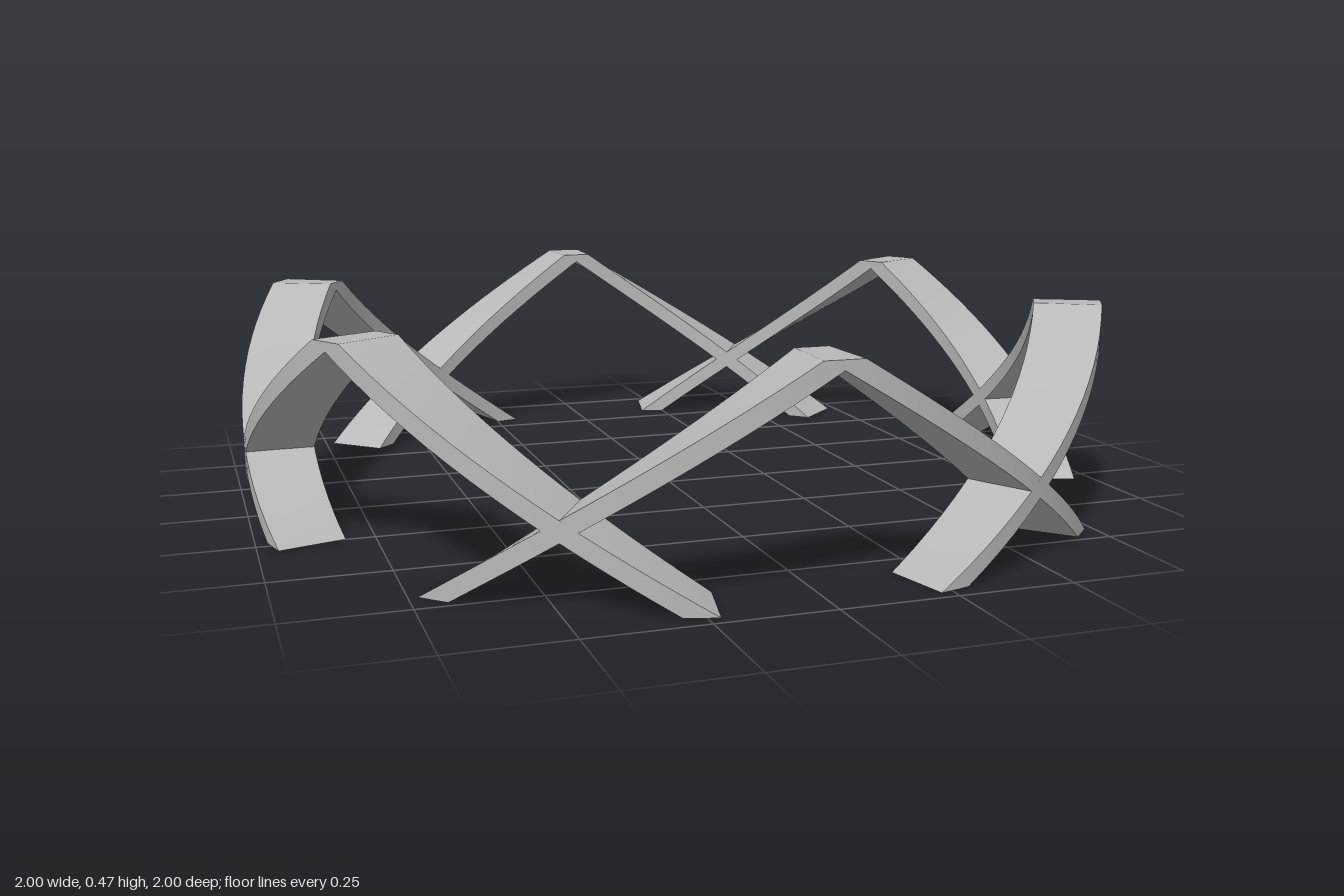
import * as THREE from 'three';
import { toCreasedNormals } from 'three/addons/utils/BufferGeometryUtils.js';

const OUTER = 1, INNER = 0.85, TOP = 0.47, UNDER = 0.45;
const FOOT = 47, HEEL = 43;   // degrees where the upper and lower edges reach the ground
const PEAK = 2.4;             // half width of the flat peak, in degrees

// One arch: a four-cornered section swept around the circle, rising to a flat peak
function archGeometry() {
  const half = [0, PEAK];
  for (let i = 1; i <= 16; i++) half.push(PEAK + (HEEL - PEAK) * i / 16);
  half.push(HEEL + 2, FOOT);
  const angles = [...half.slice(1).reverse().map(a => -a), ...half];

  const positions = [], index = [];
  for (const a of angles) {
    const d = Math.abs(a), t = THREE.MathUtils.degToRad(a);
    const high = Math.min(TOP, TOP * (FOOT - d) / (FOOT - PEAK));
    const low = Math.max(0, UNDER * (HEEL - d) / HEEL);
    for (const [r, y] of [[OUTER, high], [OUTER, low], [INNER, low], [INNER, high]]) {
      positions.push(r * Math.sin(t), y, r * Math.cos(t));
    }
  }
  for (let i = 0; i < angles.length - 1; i++) {
    for (let k = 0; k < 4; k++) {
      const n = (k + 1) % 4;
      const a = i * 4 + k, b = i * 4 + n, c = b + 4, d = a + 4;
      index.push(a, b, c, a, c, d);
    }
  }
  const geometry = new THREE.BufferGeometry();
  geometry.setAttribute('position', new THREE.Float32BufferAttribute(positions, 3));
  geometry.setIndex(index);
  return toCreasedNormals(geometry, 0.4);
}

export function createModel() {
  const model = new THREE.Group();
  model.name = 'archRing';
  const grey = new THREE.MeshStandardMaterial({ color: 0xb8b8b8 });
  grey.name = 'grey';

  // Six arches whose legs cross their neighbours' legs
  const geometry = archGeometry();
  for (let i = 0; i < 6; i++) {
    const arch = new THREE.Mesh(geometry, grey);
    arch.name = `arch${i + 1}`;
    arch.rotation.y = i * Math.PI / 3;
    model.add(arch);
  }
  return model;
}
